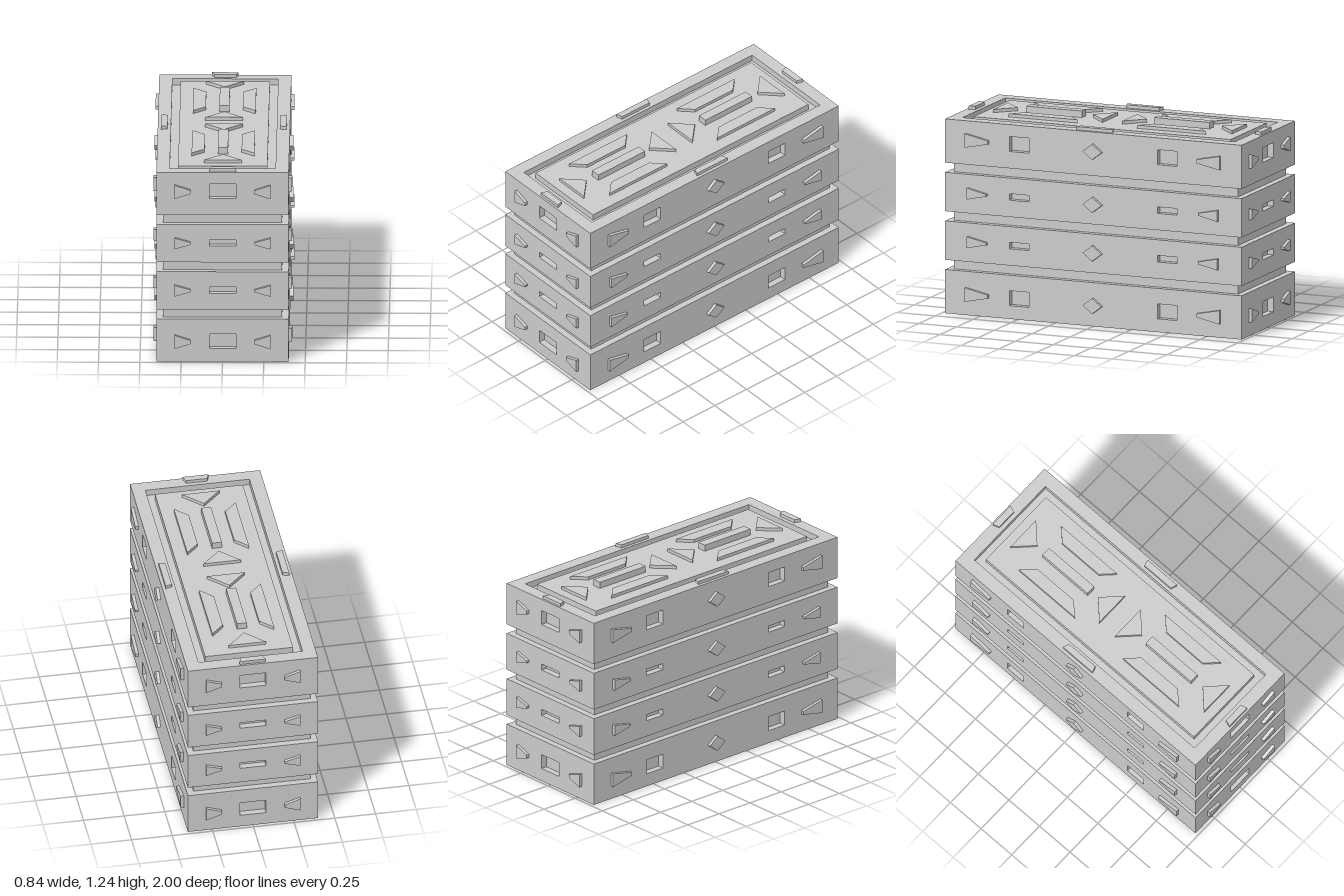
import * as THREE from 'three';

const material = new THREE.MeshStandardMaterial({ color: 0xcccccc, flatShading: true });

function addMesh(parent, name, geometry, x = 0, y = 0, z = 0) {
  const mesh = new THREE.Mesh(geometry, material);
  mesh.name = name;
  mesh.position.set(x, y, z);
  parent.add(mesh);
  return mesh;
}

const outline = (pts) => new THREE.Shape(pts.map(([x, y]) => new THREE.Vector2(x, y)));
const rect = (x, y, hw, hh) => [[x - hw, y - hh], [x + hw, y - hh], [x + hw, y + hh], [x - hw, y + hh]];

// Flat plate in the xy plane, raised along +z, with optional holes
function plate(pts, depth, holes = []) {
  const shape = outline(pts);
  holes.forEach((h) => shape.holes.push(outline(h)));
  return new THREE.ExtrudeGeometry(shape, { depth, bevelEnabled: false });
}

// Tapered boss: wide edge at x0, narrow edge at x1
const taper = (x0, x1, y, h0, h1) => [[x0, y - h0], [x1, y - h1], [x1, y + h1], [x0, y + h0]];

const W = 0.4, L = 0.98, H = 1.2, WALL = 0.04, BOSS = 0.02;
const LAYERS = [
  { y0: 0, y1: 0.27, yc: 0.128, tall: true },
  { y0: 0.33, y1: 0.57, yc: 0.453, tall: false },
  { y0: 0.63, y1: 0.87, yc: 0.753, tall: false },
  { y0: 0.93, y1: 1.2, yc: 1.08, tall: true },
];

// One wall of one layer: a panel with rectangular pockets and raised bosses
function layerWall(layer, isLong) {
  const g = new THREE.Group();
  const { y0, y1, yc, tall } = layer;
  const half = isLong ? L : W - WALL;
  const hh = tall ? 0.046 : 0.02;
  const pockets = isLong
    ? [rect(-0.49, yc, 0.065, hh), rect(0.49, yc, 0.065, hh)]
    : [rect(0, yc, 0.08, hh)];
  addMesh(g, 'wallPanel', plate(rect(0, (y0 + y1) / 2, half, (y1 - y0) / 2), WALL, pockets));

  const h0 = tall ? 0.043 : 0.035;
  const h1 = tall ? 0.011 : 0.007;
  const [outer, inner] = isLong ? (tall ? [0.842, 0.69] : [0.828, 0.7]) : [0.29, 0.193];
  for (const s of [-1, 1]) {
    addMesh(g, 'taperedBoss', plate(taper(s * outer, s * inner, yc, h0, h1), BOSS), 0, 0, WALL);
  }
  if (isLong) {
    const d = 0.063, e = 0.048;
    addMesh(g, 'diamondBoss', plate([[-d, yc], [0, yc - e], [d, yc], [0, yc + e]], BOSS), 0, 0, WALL);
  }
  return g;
}

// Lid: rim, groove and centre panel with raised ornaments, drawn flat and laid on top
function buildLid() {
  const lid = new THREE.Group();
  lid.name = 'lid';
  lid.rotation.x = -Math.PI / 2;
  lid.position.y = H;
  addMesh(lid, 'lidRim', plate(rect(0, 0, W - WALL, L - WALL), WALL, [rect(0, 0, 0.32, 0.9)]), 0, 0, -WALL);
  addMesh(lid, 'lidPanel', plate(rect(0, 0, 0.27, 0.85), WALL), 0, 0, -WALL);

  for (const s of [-1, 1]) {
    addMesh(lid, 'lidBar', plate(rect(0, s * 0.422, 0.03, 0.184), 0.04));
    // Triangles pointing towards the bar from both of its ends
    for (const [base, tip] of [[0.79, 0.675], [0.065, 0.18]]) {
      addMesh(lid, 'lidTriangle', plate([[-0.115, s * base], [0.115, s * base], [0, s * tip]], BOSS));
    }
    // Long trapezoids on either side of the bar
    for (const m of [-1, 1]) {
      addMesh(lid, 'lidTrapezoid', plate(taper(m * 0.19, m * 0.112, s * 0.425, 0.228, 0.15), BOSS));
    }
    // Rim clips on the long and short edges
    addMesh(lid, 'sideClip', plate(taper(s * 0.38, s * 0.34, 0, 0.12, 0.108), BOSS));
    addMesh(lid, 'endClip', plate([
      [-0.08, s * 0.967], [-0.066, s * 0.926], [0.066, s * 0.926], [0.08, s * 0.967],
    ], BOSS));
  }
  return lid;
}

export function createModel() {
  const model = new THREE.Group();
  model.name = 'stackedCrate';

  // Core forms the necks between layers, the pocket floors and the groove floor
  const coreH = H - WALL;
  addMesh(model, 'core', new THREE.BoxGeometry(2 * (W - WALL), coreH, 2 * (L - WALL)), 0, coreH / 2, 0);

  LAYERS.forEach((layer, i) => {
    const tier = new THREE.Group();
    tier.name = `layer${i + 1}`;
    for (let k = 0; k < 4; k++) {
      const isLong = k % 2 === 1;
      const wall = layerWall(layer, isLong);
      wall.name = ['frontWall', 'leftWall', 'backWall', 'rightWall'][k];
      const angle = (k * Math.PI) / 2;
      const dist = (isLong ? W : L) - WALL;
      wall.rotation.y = angle;
      wall.position.set(Math.sin(angle) * dist, 0, Math.cos(angle) * dist);
      tier.add(wall);
    }
    model.add(tier);
  });

  model.add(buildLid());
  return model;
}
